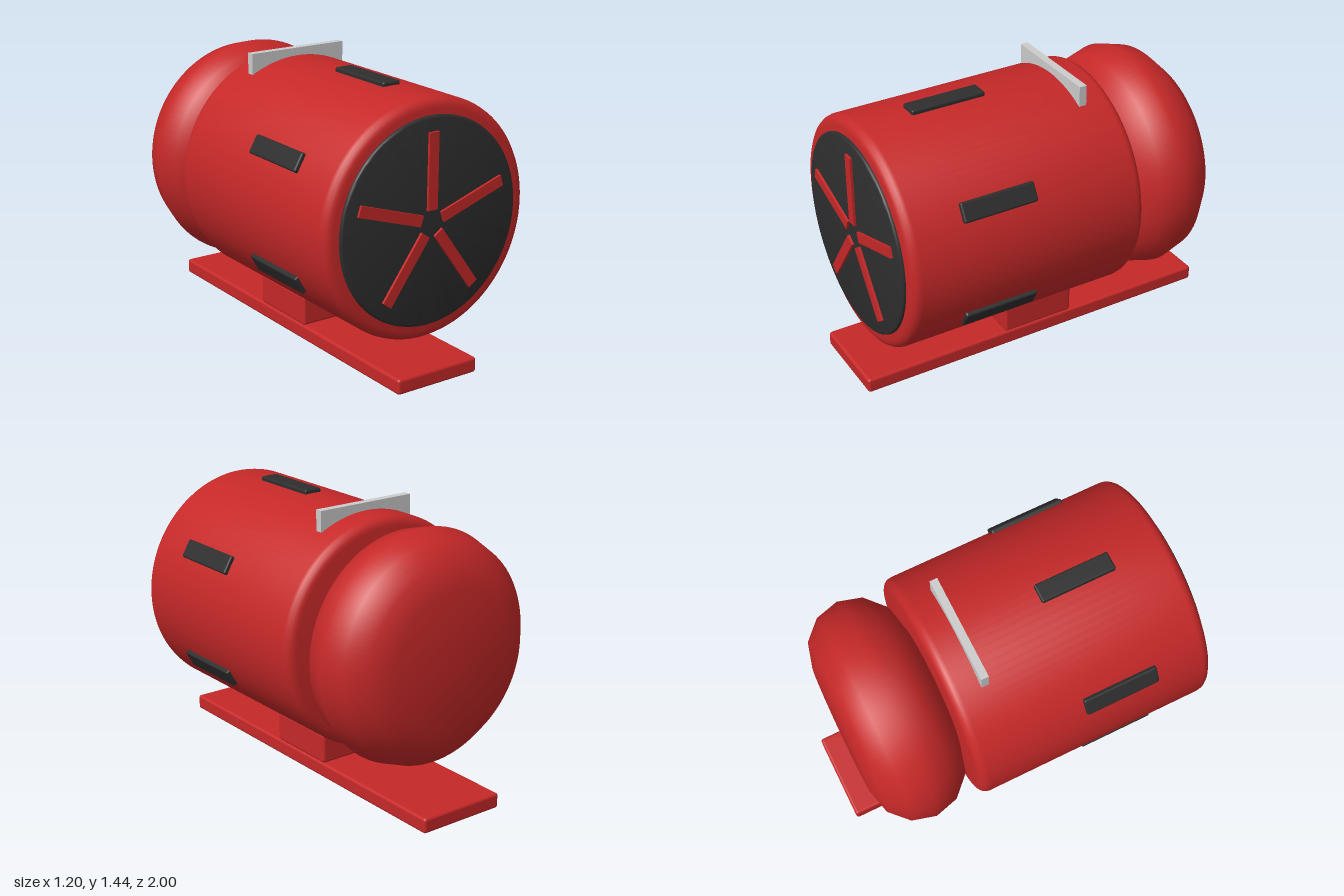
import * as THREE from 'three';
import { RoundedBoxGeometry } from 'three/addons/geometries/RoundedBoxGeometry.js';
import { toCreasedNormals } from 'three/addons/utils/BufferGeometryUtils.js';

const AXIS_Y = 0.8;

const material = (name, color) => {
  const m = new THREE.MeshStandardMaterial({ color });
  m.name = name;
  return m;
};

// Solid drum along z with rounded rims
function drum(radius, z0, z1, bevel, steps, segments) {
  const pts = [new THREE.Vector2(0, z0)];
  const arc = (from, cz) => {
    for (let i = 0; i <= steps; i++) {
      const a = from + (i / steps) * Math.PI / 2;
      pts.push(new THREE.Vector2(radius - bevel + bevel * Math.cos(a), cz + bevel * Math.sin(a)));
    }
  };
  arc(-Math.PI / 2, z0 + bevel);
  arc(0, z1 - bevel);
  pts.push(new THREE.Vector2(0, z1));
  // drop the doubled point where the two arcs meet
  const profile = pts.filter((p, i) => i === 0 || p.distanceTo(pts[i - 1]) > 1e-5);
  const geo = new THREE.LatheGeometry(profile, segments).rotateX(Math.PI / 2);
  return toCreasedNormals(geo, 0.6);
}

export function createModel() {
  const red = material('red paint', 0xc62828);
  const dark = material('dark plastic', 0x2e2e2e);
  const grey = material('light grey metal', 0xcccccc);

  const model = new THREE.Group();
  model.name = 'motorUnit';
  const add = (name, geo, mat, x, y, z, parent = model) => {
    const mesh = new THREE.Mesh(geo, mat);
    mesh.name = name;
    mesh.position.set(x, y, z);
    parent.add(mesh);
    return mesh;
  };

  // Mount: base plate and pedestal
  add('basePlate', new RoundedBoxGeometry(0.48, 0.08, 2, 3, 0.015), red, 0, 0.04, 0);
  add('pedestal', new RoundedBoxGeometry(0.48, 0.16, 0.4, 3, 0.015), red, 0, 0.16, 0);

  // Main housing and front cover
  add('housing', drum(0.6, -0.4, 0.9, 0.05, 4, 96), red, 0, AXIS_Y, 0);
  add('frontCover', drum(0.52, 0.88, 0.917, 0.012, 3, 96), dark, 0, AXIS_Y, 0);

  // Bulging rear cap
  add('rearCap', drum(0.6, -0.9, -0.4, 0.25, 3, 96), red, 0, AXIS_Y, 0);

  // Five spokes on the front cover
  const spokes = new THREE.Group();
  spokes.name = 'frontSpokes';
  spokes.position.set(0, AXIS_Y, 0.915);
  model.add(spokes);
  for (let i = 0; i < 5; i++) {
    const a = (i * Math.PI * 2) / 5;
    const spoke = add('spoke', new THREE.BoxGeometry(0.056, 0.38, 0.03), red,
      -Math.sin(a) * 0.255, Math.cos(a) * 0.255, 0, spokes);
    spoke.rotation.z = a;
  }

  // Six vents around the housing
  const vents = new THREE.Group();
  vents.name = 'vents';
  vents.position.set(0, AXIS_Y, 0.4);
  model.add(vents);
  for (let i = 0; i < 6; i++) {
    const a = (i * Math.PI) / 3;
    const vent = add('vent', new RoundedBoxGeometry(0.1, 0.04, 0.4, 2, 0.01), dark,
      -Math.sin(a) * 0.6, Math.cos(a) * 0.6, 0, vents);
    vent.rotation.z = a;
  }

  // Upright plate across the top
  add('topPlate', new THREE.BoxGeometry(0.56, 0.108, 0.04), grey, 0, 1.386, -0.22);

  return model;
}
